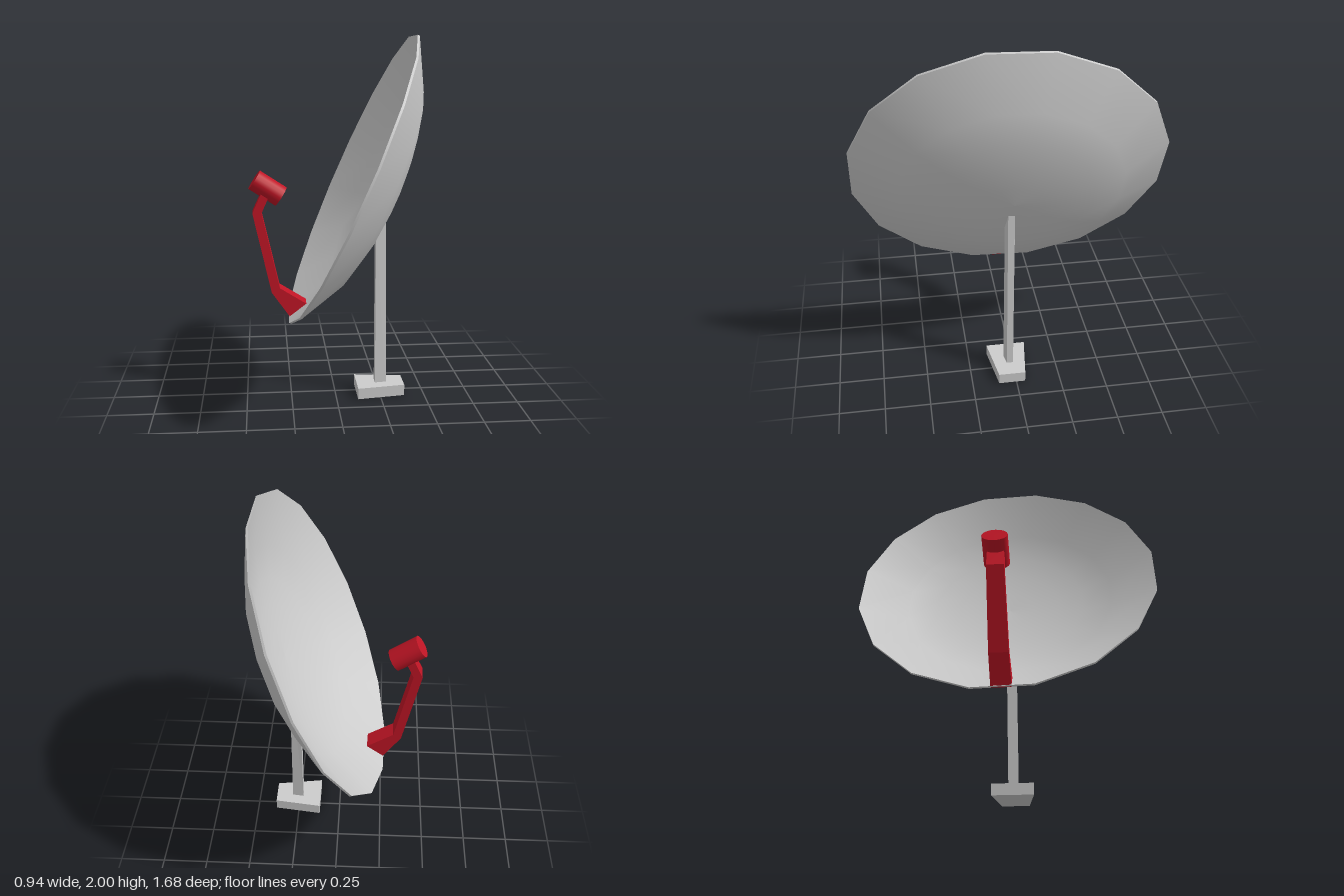
import * as THREE from 'three';

const grey = new THREE.MeshStandardMaterial({ color: 0xcccccc });
const red = new THREE.MeshStandardMaterial({ color: 0xc01525 });

function part(name, geometry, material) {
  const mesh = new THREE.Mesh(geometry, material);
  mesh.name = name;
  return mesh;
}

function extrude(points, depth) {
  const shape = new THREE.Shape(points.map(([x, y]) => new THREE.Vector2(x, y)));
  return new THREE.ExtrudeGeometry(shape, { depth, bevelEnabled: false });
}

// Upright prism from an (x, z) footprint
function prism(footprint, height) {
  return extrude(footprint.map(([x, z]) => [x, -z]), height).rotateX(-Math.PI / 2);
}

// Moves every vertex by a rule, then restores flat normals
function warp(geometry, rule) {
  const pos = geometry.attributes.position;
  const v = new THREE.Vector3();
  for (let i = 0; i < pos.count; i++) {
    rule(v.fromBufferAttribute(pos, i));
    pos.setXYZ(i, v.x, v.y, v.z);
  }
  geometry.computeVertexNormals();
  return geometry;
}

// Sixteen-sided shallow bowl: smooth back, thin rim, smooth hollow
function createDish() {
  const dish = new THREE.Group();
  dish.name = 'dish';
  const outer = [[0, -0.25], [0.14, -0.245], [0.29, -0.228], [0.43, -0.2], [0.6, -0.148], [0.857, 0]];
  const inner = [[0.857, 0.012], [0.6, -0.128], [0.43, -0.18], [0.29, -0.208], [0.14, -0.225], [0, -0.23]];
  const rim = [[0.857, 0], [0.857, 0.012]];
  for (const [name, profile] of Object.entries({ dishBack: outer, dishHollow: inner, dishRim: rim })) {
    const points = profile.map(([r, y]) => new THREE.Vector2(r, y));
    dish.add(part(name, new THREE.LatheGeometry(points, 16, Math.PI / 16), grey));
  }
  // Tilted axis: the hollow looks up and to the side, with a slight yaw
  const side = new THREE.Vector3(-0.027, 0.018, 1).normalize();
  const up = new THREE.Vector3(0.405, 0.914, 0).addScaledVector(side, -0.0055).normalize();
  const axis = new THREE.Vector3().crossVectors(side, up);
  dish.quaternion.setFromRotationMatrix(new THREE.Matrix4().makeBasis(up, axis, side));
  dish.position.set(0.092, 1.228, 0);
  return dish;
}

// Bent arm, narrowing and drifting slightly sideways as it rises
function createArm() {
  const outline = [[-0.25, 0.458], [-0.155, 0.533], [-0.31, 0.63], [-0.405, 1.05], [-0.36, 1.15],
    [-0.40, 1.17], [-0.455, 1.05], [-0.355, 0.605]];
  const geometry = extrude(outline, 1).translate(0, 0, -0.5);
  return part('feedArm', warp(geometry, (v) => {
    const t = (v.y - 0.458) / 0.7;
    v.z = v.z * (0.108 - 0.018 * t) - 0.016 * t;
  }), red);
}

// Receiver head: a short barrel, slightly wider than tall
function createReceiver() {
  const receiver = part('receiver', new THREE.CylinderGeometry(0.06, 0.06, 0.173, 16), red);
  receiver.scale.z = 1.16;
  receiver.position.set(-0.37, 1.182, -0.018);
  receiver.rotation.z = Math.atan2(0.836, 0.548);
  return receiver;
}

export function createModel() {
  const model = new THREE.Group();
  model.name = 'satelliteDish';

  // Trapezoid foot plate
  const base = prism([[0.12, 0.14], [0.387, 0.1], [0.387, -0.05], [0.12, -0.085]], 0.062);
  model.add(part('base', base, grey));

  // Post with a sloped top that ends inside the bowl wall
  const post = prism([[0.225, 0.053], [0.29, 0.042], [0.29, 0.006], [0.225, -0.003]], 1);
  model.add(part('post', warp(post, (v) => {
    if (v.y > 0.5) {
      if (v.x > 0.25) v.x = 0.28;
      v.y = 0.95 + (v.x - 0.225) * 2;
      v.z -= 0.009;
    } else {
      v.y = 0.05;
    }
  }), grey));

  model.add(createDish(), createArm(), createReceiver());
  return model;
}
